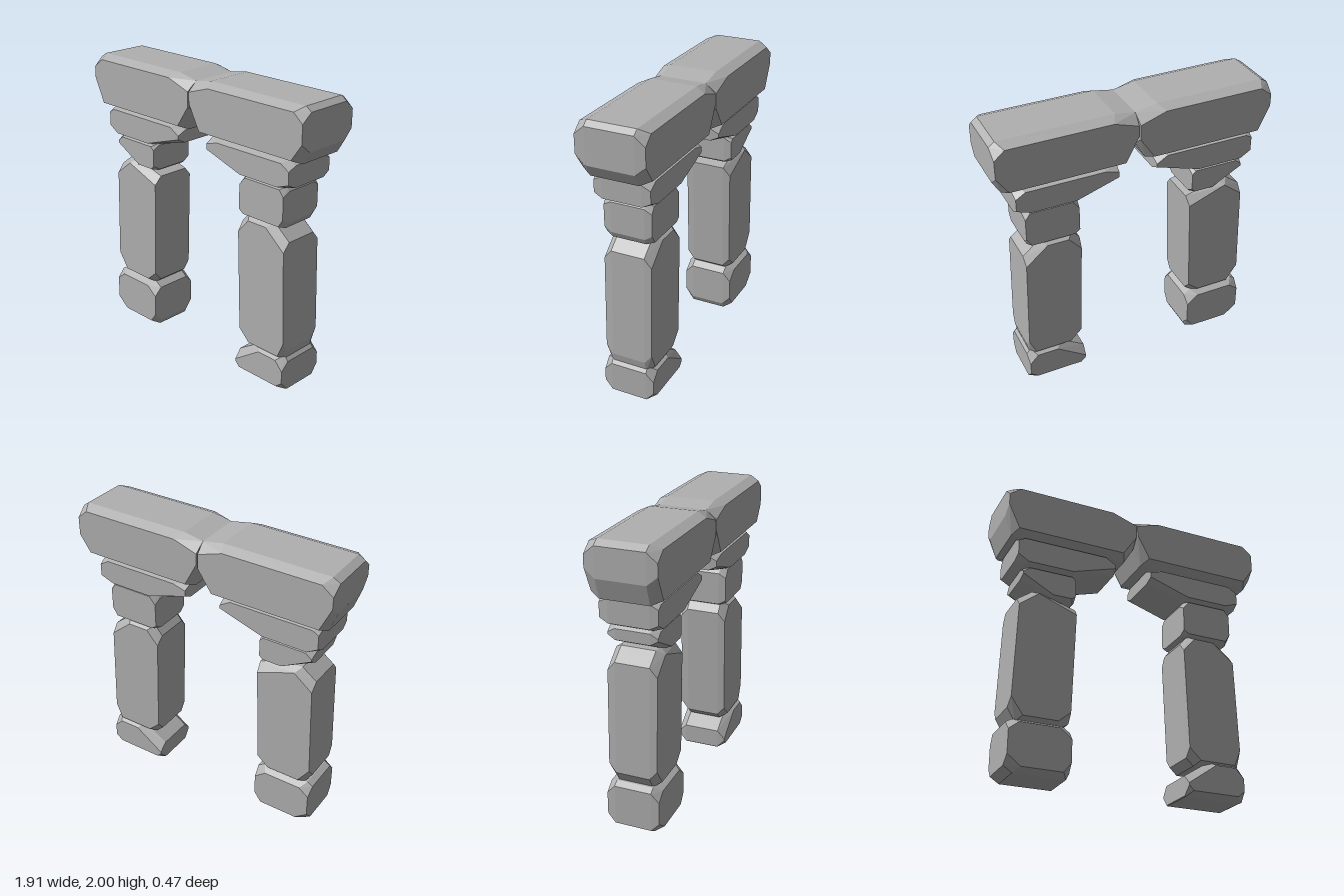
import * as THREE from 'three';
import { ConvexGeometry } from 'three/addons/geometries/ConvexGeometry.js';

const stoneMat = new THREE.MeshStandardMaterial({ color: 0xb0b0b0, flatShading: true });
stoneMat.name = 'grey stone';

// Rectangle with its four corners cut off, as points at depth z.
// cuts: [x, y] for top left, top right, bottom right, bottom left.
// inset shrinks the top and bottom and widens every cut; lean shears the top sideways.
function cutSection({ x, y, cuts, lean = 0 }, inset, z) {
  const midY = (y[0] + y[1]) / 2;
  const height = y[1] - y[0];
  const corners = [[0, 1], [1, 1], [1, 0], [0, 0]];
  return corners.flatMap(([i, j], n) => {
    const px = x[i] + (i ? -0.005 : 0.005) * Math.sign(inset);
    const py = y[j] + (j ? -inset : inset);
    const dx = (cuts[n][0] + inset) * (i ? -1 : 1);
    const dy = (cuts[n][1] + inset) * (j ? -1 : 1);
    return [[px + dx, py], [px, py + dy]].map(
      ([a, b]) => new THREE.Vector3(a + (lean * (b - midY)) / height, b, z));
  });
}

// A hewn block: full section through the middle, smaller faces at front and back
function makeStone(name, depth, bevel, shape) {
  const points = [
    ...cutSection(shape, bevel, depth),
    ...cutSection(shape, 0, depth * 0.7),
    ...cutSection(shape, 0, -depth * 0.7),
    ...cutSection(shape, bevel, -depth),
  ];
  const mesh = new THREE.Mesh(new ConvexGeometry(points), stoneMat);
  mesh.name = name;
  return mesh;
}

const makeLintel = (shape) => makeStone('lintel', 0.235, 0.03, shape);
const makeCapital = (shape) => makeStone('capital', 0.195, 0.015, shape);
const makeNeck = (shape) => makeStone('neck', 0.168, 0.015, shape);
const makeShaft = (shape) => makeStone('shaft', 0.168, 0.03, shape);
const makeBase = (shape) => makeStone('base', 0.183, 0.03, shape);

// Pillar with the tall base, on the model's right
function makeRightPillar() {
  const pillar = new THREE.Group();
  pillar.name = 'rightPillar';
  pillar.add(
    makeBase({ x: [-0.86, -0.43], y: [0, 0.345],
      cuts: [[0.04, 0.025], [0.05, 0.035], [0.02, 0.04], [0.06, 0.04]] }),
    makeShaft({ x: [-0.838, -0.425], y: [0.335, 1.265], lean: 0.03,
      cuts: [[0.1, 0.075], [0.24, 0.07], [0.05, 0.04], [0.055, 0.085]] }),
    makeNeck({ x: [-0.81, -0.425], y: [1.235, 1.43],
      cuts: [[0.03, 0.02], [0.01, 0.01], [0.01, 0.01], [0.2, 0.1]] }),
    makeCapital({ x: [-0.86, -0.14], y: [1.43, 1.63],
      cuts: [[0.03, 0.01], [0.06, 0.03], [0.3, 0.085], [0.06, 0.03]] }),
    makeLintel({ x: [-0.955, 0], y: [1.63, 2],
      cuts: [[0.05, 0.03], [0.15, 0.03], [0.07, 0.12], [0.05, 0.14]] }),
  );
  return pillar;
}

// Pillar with the low, sloping base, on the model's left
function makeLeftPillar() {
  const pillar = new THREE.Group();
  pillar.name = 'leftPillar';
  pillar.add(
    makeBase({ x: [0.385, 0.815], y: [0, 0.255],
      cuts: [[0.18, 0.115], [0.03, 0.035], [0.02, 0.01], [0.005, 0.005]] }),
    makeShaft({ x: [0.395, 0.795], y: [0.22, 1.17], lean: -0.03,
      cuts: [[0.06, 0.07], [0.12, 0.1], [0.02, 0.08], [0.05, 0.05]] }),
    makeNeck({ x: [0.39, 0.77], y: [1.16, 1.44],
      cuts: [[0.03, 0.04], [0.02, 0.03], [0.02, 0.04], [0.02, 0.01]] }),
    makeCapital({ x: [0.12, 0.83], y: [1.435, 1.625],
      cuts: [[0.08, 0.01], [0.05, 0.025], [0.08, 0.02], [0.28, 0.08]] }),
    makeLintel({ x: [0, 0.955], y: [1.635, 1.995],
      cuts: [[0.14, 0.025], [0.04, 0.03], [0.05, 0.085], [0.06, 0.14]] }),
  );
  return pillar;
}

export function createModel() {
  const model = new THREE.Group();
  model.name = 'stoneArch';
  model.add(makeRightPillar(), makeLeftPillar());
  return model;
}
